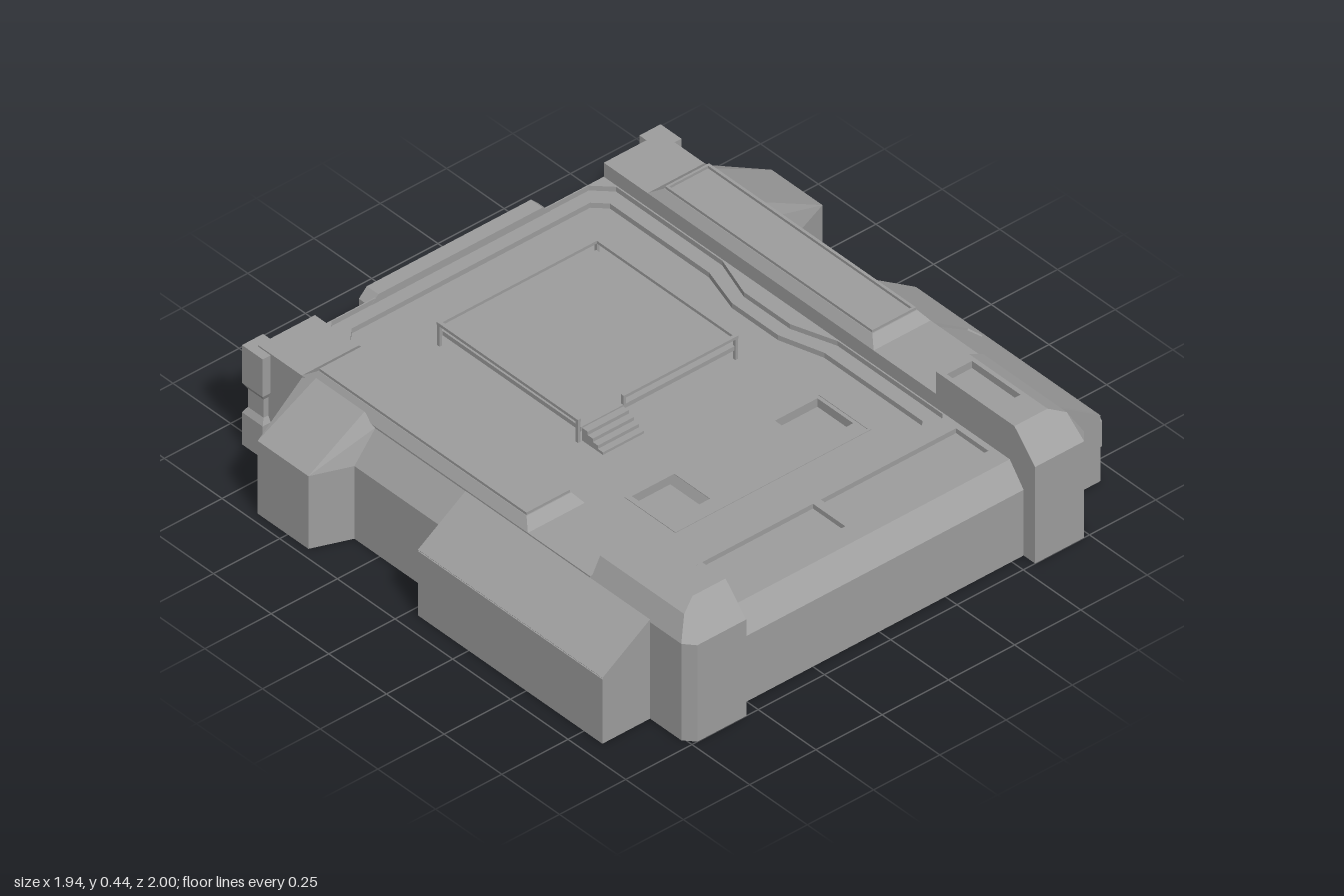
import * as THREE from 'three';
import { ConvexGeometry } from 'three/addons/geometries/ConvexGeometry.js';

const mat = new THREE.MeshStandardMaterial({ color: 0x9c9c9c, flatShading: true });

export function createModel() {
  const root = new THREE.Group();

  const add = (name, geo) => {
    const m = new THREE.Mesh(geo, mat);
    m.name = name;
    root.add(m);
    return m;
  };
  // box given by its limits
  const box = (name, x0, x1, y0, y1, z0, z1) => add(name,
    new THREE.BoxGeometry(Math.abs(x1 - x0), y1 - y0, z1 - z0)
      .translate((x0 + x1) / 2, (y0 + y1) / 2, (z0 + z1) / 2));
  const hull = (name, s, pts) => add(name,
    new ConvexGeometry(pts.map(([x, y, z]) => new THREE.Vector3(x * s, y, z))));
  const rect = (x0, x1, z0, z1) => [[x0, z0], [x1, z0], [x1, z1], [x0, z1]];
  const vecs = (pts, s) => pts.map(([a, b]) => new THREE.Vector2(a * s, b));
  const plate = (pts, holes, depth, s = 1) => {
    const shape = new THREE.Shape(vecs(pts, s));
    shape.holes = holes.map(h => new THREE.Path(vecs(h, s)));
    return new THREE.ExtrudeGeometry(shape, { depth, bevelEnabled: false });
  };
  // flat layer outlined in x and z, hanging down from its top height
  const layer = (name, pts, holes, y0, y1, s = 1) =>
    add(name, plate(pts, holes, y1 - y0, s).rotateX(Math.PI / 2).translate(0, y1, 0));

  // central hull with bevelled nose
  const B = 0.545;
  hull('hull', 1, [-B, B].flatMap(x => [
    [x, 0, -0.87], [x, 0.245, -0.87], [x, 0.245, 0.942], [x, 0.235, 0.95], [x, 0, 0.95]]));
  hull('noseBevel', 1, [-B, B].flatMap(x => [
    [x, 0.245, 0.83], [x, 0.31, 0.83], [x, 0.31, 0.89], [x, 0.245, 0.942]]));

  // stepped deck: outline narrows at the waist
  const outline = (w, waist, z0, z1, c) => {
    const half = [[w - c, z0], [w, z0 + c], [w, -0.35], [waist, -0.2], [waist, 0], [w, 0.15], [w, z1 - c], [w - c, z1]];
    return [...half, ...half.map(([x, z]) => [-x, z]).reverse()];
  };
  const hatch = s => rect(0.19 * s, 0.35 * s, 0.28, 0.435);
  const deckRect = rect(-B, B, -0.87, 0.83);
  layer('deckFloor', deckRect, [hatch(1), hatch(-1)], 0.245, 0.275);
  layer('deckStep', deckRect, [outline(0.49, 0.445, -0.82, 0.615, 0.04)], 0.245, 0.293);
  layer('deckBorder', deckRect, [
    outline(0.54, 0.49, -0.866, 0.66, 0.055),
    rect(0.015, 0.525, 0.68, 0.82), rect(-0.525, -0.015, 0.68, 0.82)], 0.293, 0.31);
  layer('hatchSurround', [[-0.37, 0.27], [-0.362, 0.27], [-0.362, 0.484], [0.362, 0.484],
    [0.362, 0.27], [0.37, 0.27], [0.37, 0.492], [-0.37, 0.492]], [], 0.27, 0.277);

  // raised platform with railing and stairs
  box('platform', -0.29, 0.29, 0.31, 0.325, -0.61, -0.01);
  for (const [x, z] of [[-0.297, -0.614], [0.297, -0.614], [0.297, -0.014], [-0.125, -0.014], [-0.297, -0.014]])
    box('railPost', x - 0.005, x + 0.005, 0.27, 0.352, z - 0.005, z + 0.005);
  box('railBack', -0.302, 0.302, 0.348, 0.358, -0.62, -0.608);
  box('railFront', -0.13, 0.302, 0.348, 0.358, -0.02, -0.008);
  for (const x of [-0.297, 0.297])
    box('railSide', x - 0.006, x + 0.006, 0.348, 0.358, -0.62, -0.008);
  for (let i = 0; i < 4; i++)
    box('stairStep', -0.285, -0.13, 0.27, 0.32 - i * 0.012, -0.01 + i * 0.022, 0.014 + i * 0.022);

  for (const s of [1, -1]) {
    // sloped inner walls of the deck hatch
    hull('hatchInnerSlope', s, [0.28, 0.435].flatMap(z => [
      [0.19, 0.245, z], [0.19, 0.273, z], [0.205, 0.245, z]]));
    hull('hatchFrontSlope', s, [0.19, 0.35].flatMap(x => [
      [x, 0.245, 0.435], [x, 0.273, 0.435], [x, 0.245, 0.42]]));

    // side hull
    box('sideHull', B * s, 0.76 * s, 0, 0.36, -0.87, 0.57);

    // long side rail with sunken top
    hull('sideRail', s, [
      ...[0.3, 0.36].flatMap(y => rect(B, 0.76, -0.68, 0.3).map(([x, z]) => [x, y, z])),
      ...rect(0.568, 0.737, -0.635, 0.268).map(([x, z]) => [x, 0.391, z])]);
    layer('railRim', rect(0.57, 0.735, -0.632, 0.265), [rect(0.578, 0.725, -0.624, 0.257)], 0.385, 0.4, s);

    // front corner tower with open hatch
    const foot = [[B, 1], [0.73, 1], [0.76, 0.965], [0.76, 0.57], [B, 0.57]];
    hull('cornerTower', s, [
      ...[0, 0.345].flatMap(y => foot.map(([x, z]) => [x, y, z])),
      ...rect(B, 0.722, 0.57, 0.934).map(([x, z]) => [x, 0.415, z])]);
    layer('towerTop', rect(B, 0.67, 0.57, 0.91), [rect(0.56, 0.655, 0.6, 0.81)], 0.415, 0.44, s);
    hull('towerFrontBevel', s, [[B, 0.415, 0.934], [0.722, 0.415, 0.934], [B, 0.44, 0.91],
      [0.67, 0.44, 0.91], [B, 0.415, 0.91], [0.67, 0.415, 0.91]]);
    hull('towerSideBevel', s, [[0.722, 0.415, 0.934], [0.722, 0.415, 0.57], [0.67, 0.44, 0.91],
      [0.67, 0.44, 0.57], [0.67, 0.415, 0.91], [0.67, 0.415, 0.57]]);

    // sloped side pod with framed panel
    hull('sidePod', s, [0.03, 0.83].flatMap(z => [
      [0.7, 0, z], [0.94, 0, z], [0.94, 0.23, z], [0.76, 0.342, z], [0.7, 0.342, z]]));
    const panel = [[0.012, 0.3], [0.17, 0.3], [0.198, 0.335], [0.198, 0.82], [0.012, 0.82]];
    const frame = layer('sidePodPanelFrame', rect(0, 0.216, 0.03, 0.83), [panel], -0.0166, 0, s);
    frame.rotation.z = -Math.atan2(0.12, 0.18) * s;
    frame.position.set(0.76 * s, 0.355, 0);

    // filler between the pods
    hull('sideFiller', s, [-0.4, 0.04].flatMap(z => [
      [0.7, 0, z], [0.84, 0, z], [0.84, 0.26, z], [0.755, 0.36, z], [0.7, 0.36, z]]));

    // rear side pod
    const podFoot = [[0.7, -0.355], [0.84, -0.36], [0.97, -0.41], [0.97, -0.63], [0.83, -0.68], [0.7, -0.68]];
    hull('rearPod', s, [
      ...podFoot.map(([x, z]) => [x, 0, z]),
      ...podFoot.slice(1, 5).map(([x, z]) => [x, 0.26, z]),
      [0.75, 0.36, -0.36], [0.75, 0.36, -0.68], [0.7, 0.36, -0.36], [0.7, 0.36, -0.68],
      [0.75, 0.375, -0.42], [0.75, 0.375, -0.63]]);

    // rear corner post: two blocks with tapered ends around a neck
    box('postNeck', 0.722 * s, 0.778 * s, 0.1, 0.25, -0.893, -0.825);
    for (const [y0, y1, tip] of [[0, 0.115, 0.135], [0.22, 0.355, 0.2]]) {
      for (const [x0, z1] of [[0.71, -0.865], [0.75, -0.815]])
        hull('postBlock', s, [
          ...[y0, y1].flatMap(y => rect(x0, 0.79, -0.905, z1).map(([x, z]) => [x, y, z])),
          ...rect(x0 + 0.012, 0.778, -0.893, z1 - 0.01).map(([x, z]) => [x, tip, z])]);
    }
  }

  // louvred vents on the left pod only
  for (let i = 0; i < 4; i++) {
    const z = 0.76 - i * 0.139;
    const v = add('ventFrame', plate(
      [[-0.058, -0.045], [-0.048, -0.055], [0.048, -0.055], [0.058, -0.045],
        [0.058, 0.045], [0.048, 0.055], [-0.048, 0.055], [-0.058, 0.045]],
      [rect(-0.05, 0.05, -0.046, 0.046)], 0.018));
    v.rotation.y = Math.PI / 2;
    v.position.set(0.938, 0.155, z);
    for (let k = 0; k < 4; k++)
      box('ventSlat', 0.938, 0.953, 0.118 + k * 0.021, 0.129 + k * 0.021, z - 0.05, z + 0.05);
  }

  // rear door: chamfered surround, handle bar and ramp
  const door = (w, y0, y1, c) => [[-w, y0], [w, y0], [w, y1 - c], [w - c, y1], [c - w, y1], [-w, y1 - c]];
  add('rearDoorFrame', plate(door(0.34, 0, 0.32, 0.03), [door(0.295, 0.02, 0.29, 0.025)], 0.05)
    .translate(0, 0, -0.915));
  box('rearDoor', -0.3, 0.3, 0.01, 0.3, -0.885, -0.865);
  box('doorBar', -0.2, 0.2, 0.27, 0.29, -0.928, -0.88);
  hull('rearRamp', 1, [-0.297, 0.297].flatMap(x => [
    [x, 0.008, -0.88], [x, 0.03, -0.88], [x, 0.015, -1], [x, 0.008, -1]]));

  return root;
}
